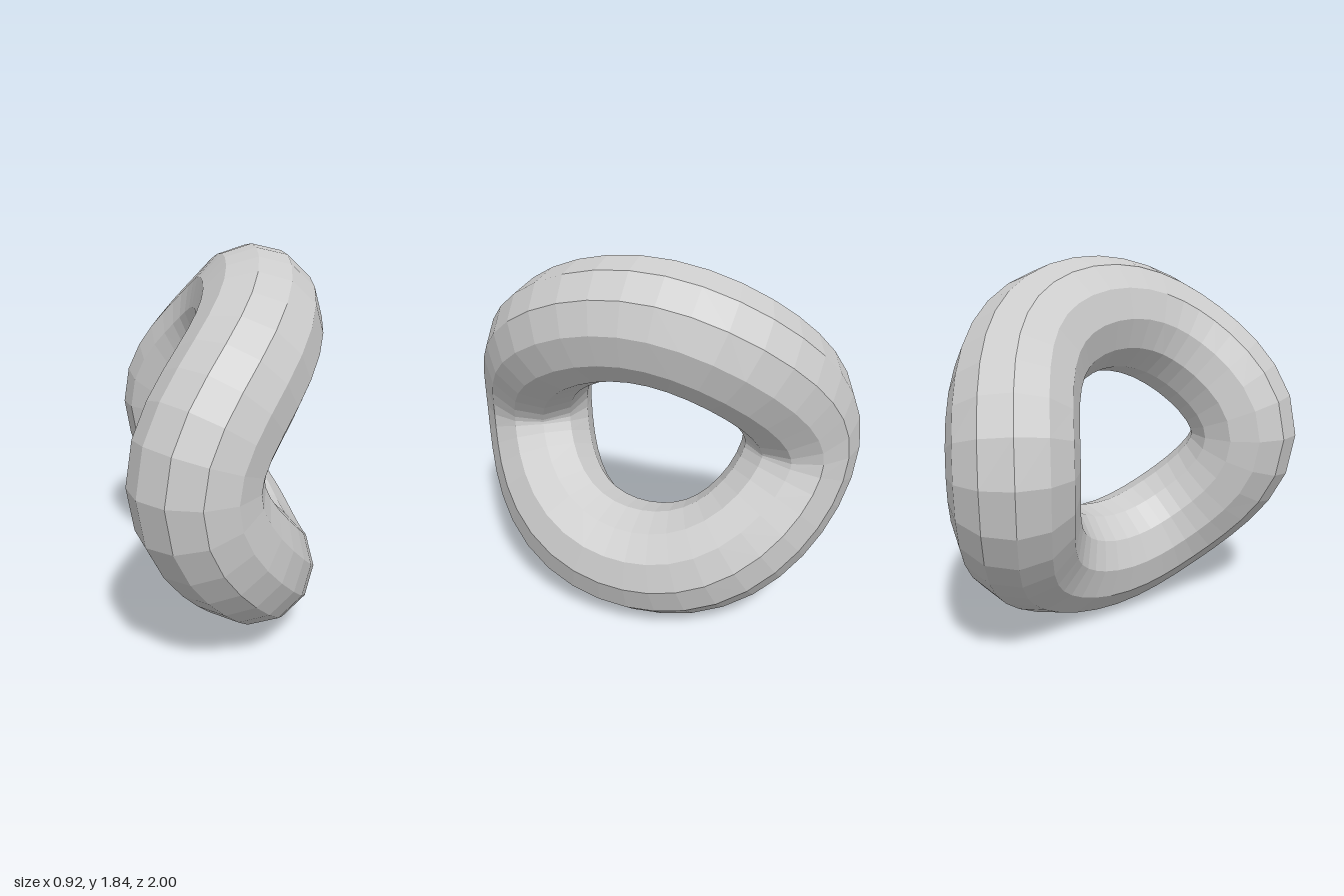
import * as THREE from 'three';

// Closed saddle-shaped centre line: an ellipse in y/z that bends in x,
// tighter at the two z ends than at the top and bottom.
class SaddleLoop extends THREE.Curve {
  getPoint(u, target = new THREE.Vector3()) {
    const t = u * Math.PI * 2;
    const bend = -0.175 * Math.cos(2 * t) + 0.03 * (1 - Math.cos(4 * t));
    return target.set(bend, 0.9175 + 0.637 * Math.sin(t), 0.715 * Math.cos(t));
  }
}

export function createModel() {
  const group = new THREE.Group();
  group.name = 'saddleRing';

  // Faceted twelve-sided tube swept round the loop
  const material = new THREE.MeshStandardMaterial({ color: 0xcccccc, flatShading: true });
  const geometry = new THREE.TubeGeometry(new SaddleLoop(), 40, 0.285, 12, true);
  const ring = new THREE.Mesh(geometry, material);
  ring.name = 'bentRing';
  group.add(ring);

  // Rest the ring on the ground
  geometry.computeBoundingBox();
  ring.position.y = -geometry.boundingBox.min.y;
  return group;
}
